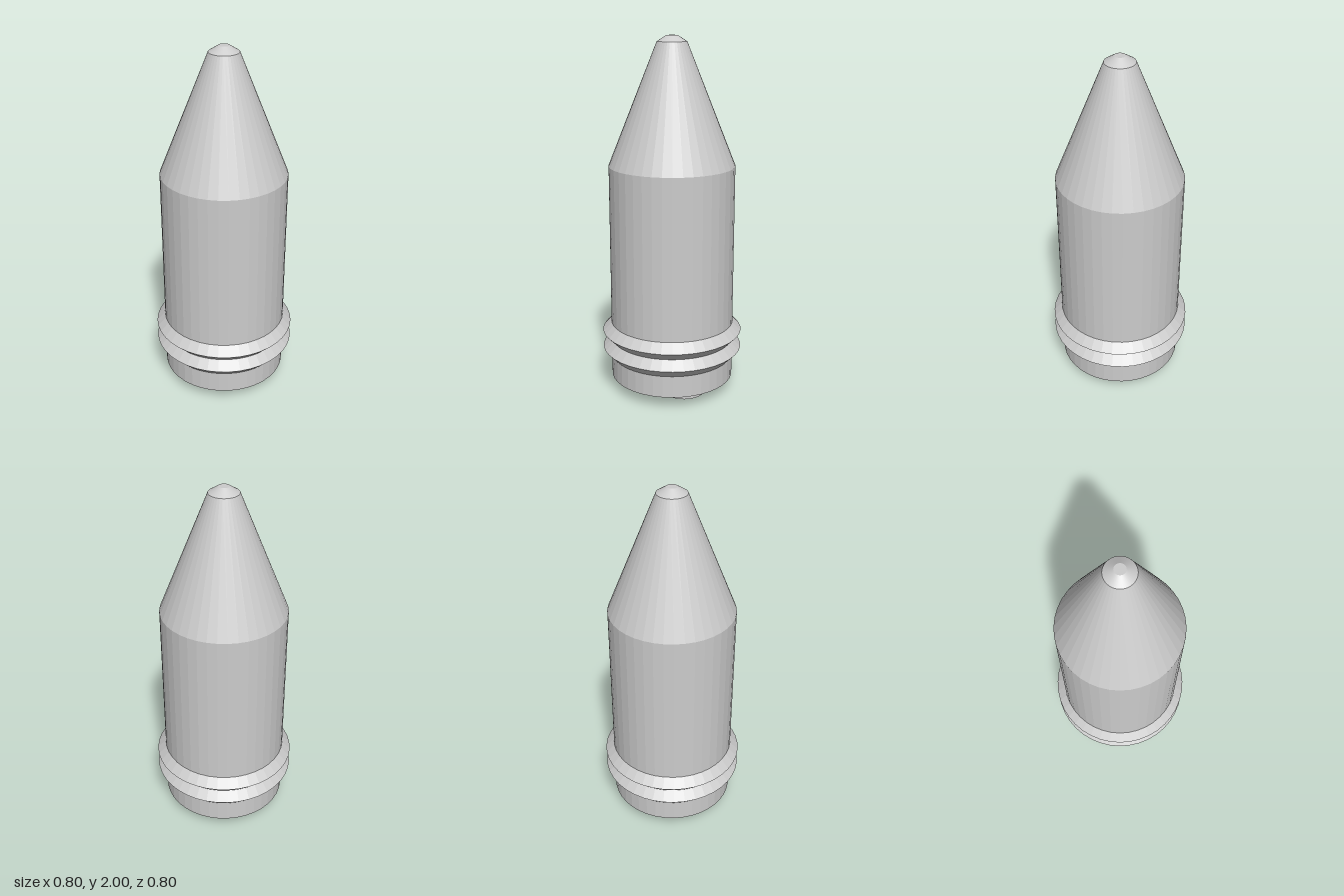
import * as THREE from 'three';

const SIDES = 40;
const flat = new THREE.MeshStandardMaterial({ color: 0xcccccc, flatShading: true });
const smooth = new THREE.MeshStandardMaterial({ color: 0xcccccc });

function lathe(name, profile, material, sides = SIDES) {
  const points = profile.map(([r, y]) => new THREE.Vector2(r, y));
  const mesh = new THREE.Mesh(new THREE.LatheGeometry(points, sides), material);
  mesh.name = name;
  return mesh;
}

// Quarter-circle dome from its foot up to the apex
function dome(radius, y, steps = 10) {
  return Array.from({ length: steps + 1 }, (_, i) => {
    const a = (i / steps) * Math.PI / 2;
    return [i === steps ? 0 : radius * Math.cos(a), y + radius * Math.sin(a)];
  });
}

export function createModel() {
  const model = new THREE.Group();
  model.name = 'rocket';

  // Hull with a recessed base and two V-shaped collars
  const hull = [[0, 0.15], [0.29, 0.15], [0.29, 0.07], [0.35, 0.07]];
  for (const y of [0.195, 0.295]) hull.push([0.35, y], [0.398, y + 0.05]);
  hull.push([0.35, 0.395], [0.35, 1.3]);
  model.add(lathe('hull', hull, flat));

  // Tapered nose and its blunt tip
  model.add(lathe('noseCone', [[0.35, 1.3], [0.082, 1.967]], flat));
  model.add(lathe('noseTip', [[0.082, 1.967], [0.03, 2]], smooth));
  model.add(lathe('noseCap', [[0.03, 2], [0, 2]], smooth));

  // Three hollow domed engine nozzles set in a triangle
  for (let i = 0; i < 3; i++) {
    const a = (i * Math.PI * 2) / 3;
    const nozzle = new THREE.Group();
    nozzle.name = 'nozzle' + (i + 1);
    nozzle.add(
      lathe('nozzleBell', [[0.118, 0], ...dome(0.118, 0.032)], smooth, 32),
      lathe('nozzleLining', [...dome(0.1, 0.03).reverse(), [0.1, 0]], smooth, 32),
      lathe('nozzleLip', [[0.1, 0], [0.118, 0]], smooth, 32),
    );
    nozzle.position.set(Math.sin(a) * 0.135, 0, Math.cos(a) * 0.135);
    model.add(nozzle);
  }
  return model;
}
